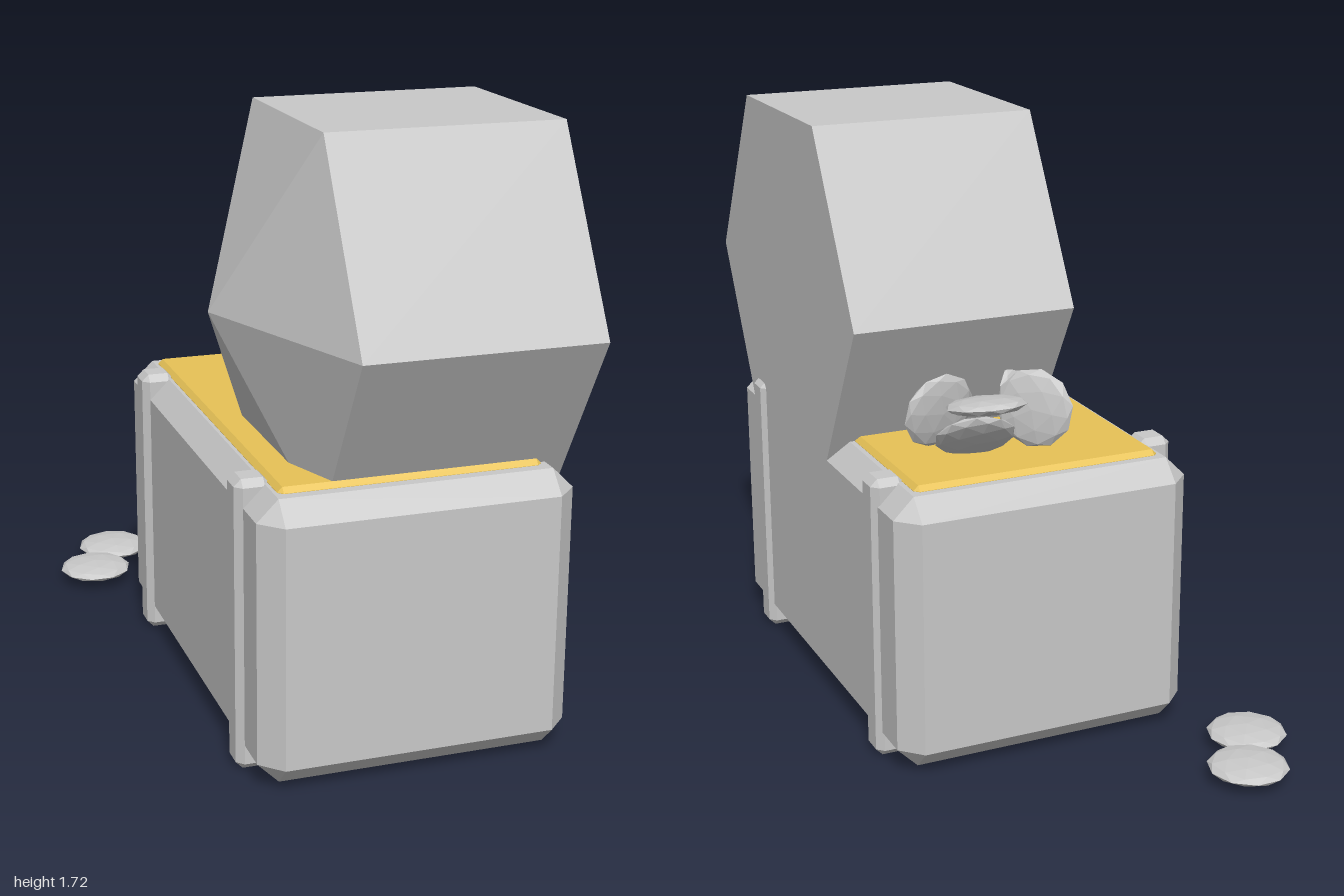
import * as THREE from 'three';
import { ConvexGeometry } from 'three/addons/geometries/ConvexGeometry.js';

// Facet a geometry: every face gets its own flat normal
function faceted(geo) {
  const g = geo.index ? geo.toNonIndexed() : geo;
  g.computeVertexNormals();
  return g;
}

// Box between two corners with all twelve edges chamfered by c
function chamferBox([x0, y0, z0], [x1, y1, z1], c) {
  const half = [(x1 - x0) / 2, (y1 - y0) / 2, (z1 - z0) / 2];
  const points = [];
  for (const sx of [-1, 1]) for (const sy of [-1, 1]) for (const sz of [-1, 1]) {
    for (let axis = 0; axis < 3; axis++) {
      const h = half.map((v, i) => (i === axis ? v : v - c));
      points.push(new THREE.Vector3(sx * h[0], sy * h[1], sz * h[2]));
    }
  }
  return new ConvexGeometry(points).translate((x0 + x1) / 2, (y0 + y1) / 2, (z0 + z1) / 2);
}

export function createModel() {
  const grey = new THREE.MeshStandardMaterial({ color: 0xc8c8c8 });
  grey.name = 'plain grey';
  const gold = new THREE.MeshStandardMaterial({ color: 0xeec859 });
  gold.name = 'gold';

  const model = new THREE.Group();
  model.name = 'treasureChest';
  const add = (name, geo, mat, parent = model) => {
    const mesh = new THREE.Mesh(geo, mat);
    mesh.name = name;
    parent.add(mesh);
    return mesh;
  };

  // Chest body and its gold filling
  add('chestBody', chamferBox([-0.35, 0.02, -0.53], [0.535, 0.82, 0.89], 0.06), grey);
  add('goldFilling', chamferBox([-0.28, 0.7, -0.445], [0.46, 0.835, 0.8], 0.014), gold);

  // Bands wrapping the sides and bottom
  for (const [name, z] of [['frontBand', 0.667], ['backBand', -0.31]]) {
    const band = new THREE.Group();
    band.name = name;
    model.add(band);
    const z0 = z - 0.05, z1 = z + 0.05;
    add('rightPost', chamferBox([-0.37, 0.003, z0], [-0.27, 0.835, z1], 0.02), grey, band);
    add('leftPost', chamferBox([0.45, 0.003, z0], [0.55, 0.835, z1], 0.02), grey, band);
    add('bottomBar', chamferBox([-0.36, 0.003, z0], [0.54, 0.1, z1], 0.02), grey, band);
  }

  // Six-sided lid lying on its side: flat at one end, pointed at the other
  const profile = [[0, -0.535], [0.6, -0.535], [0.6, 0.13], [0, 0.35]]
    .map(([r, h]) => new THREE.Vector2(r, h));
  const lid = new THREE.LatheGeometry(profile, 6).rotateZ(Math.PI / 2).translate(0, 1.206, 0.4);
  add('lid', faceted(lid), grey);

  // Coins: flattened icospheres with a vertex on the axis
  const coinGeo = faceted(new THREE.IcosahedronGeometry(1, 1)
    .rotateX(-Math.atan((1 + Math.sqrt(5)) / 2))
    .scale(0.115, 0.025, 0.115));
  const up = new THREE.Vector3(0, 1, 0);
  const coins = [
    // position, facing direction
    [[-0.34, 0.045, -0.89], [0, 1, 0]],
    [[-0.44, 0.045, -0.715], [0, 1, 0]],
    [[0.21, 1.005, -0.35], [0, 1, 0.18]],
    [[0.22, 0.9, -0.295], [-0.15, 0.75, 0.7]],
    [[0.04, 0.96, -0.3], [1, 0.1, -1]],
    [[0.27, 0.94, -0.155], [0.2, 0.2, 1]],
    [[-0.03, 0.92, -0.08], [-0.5, 0.3, -0.8]],
  ];
  coins.forEach(([pos, dir], i) => {
    const coin = add(`coin${i + 1}`, coinGeo, grey);
    coin.position.set(...pos);
    coin.quaternion.setFromUnitVectors(up, new THREE.Vector3(...dir).normalize());
  });

  return model;
}
